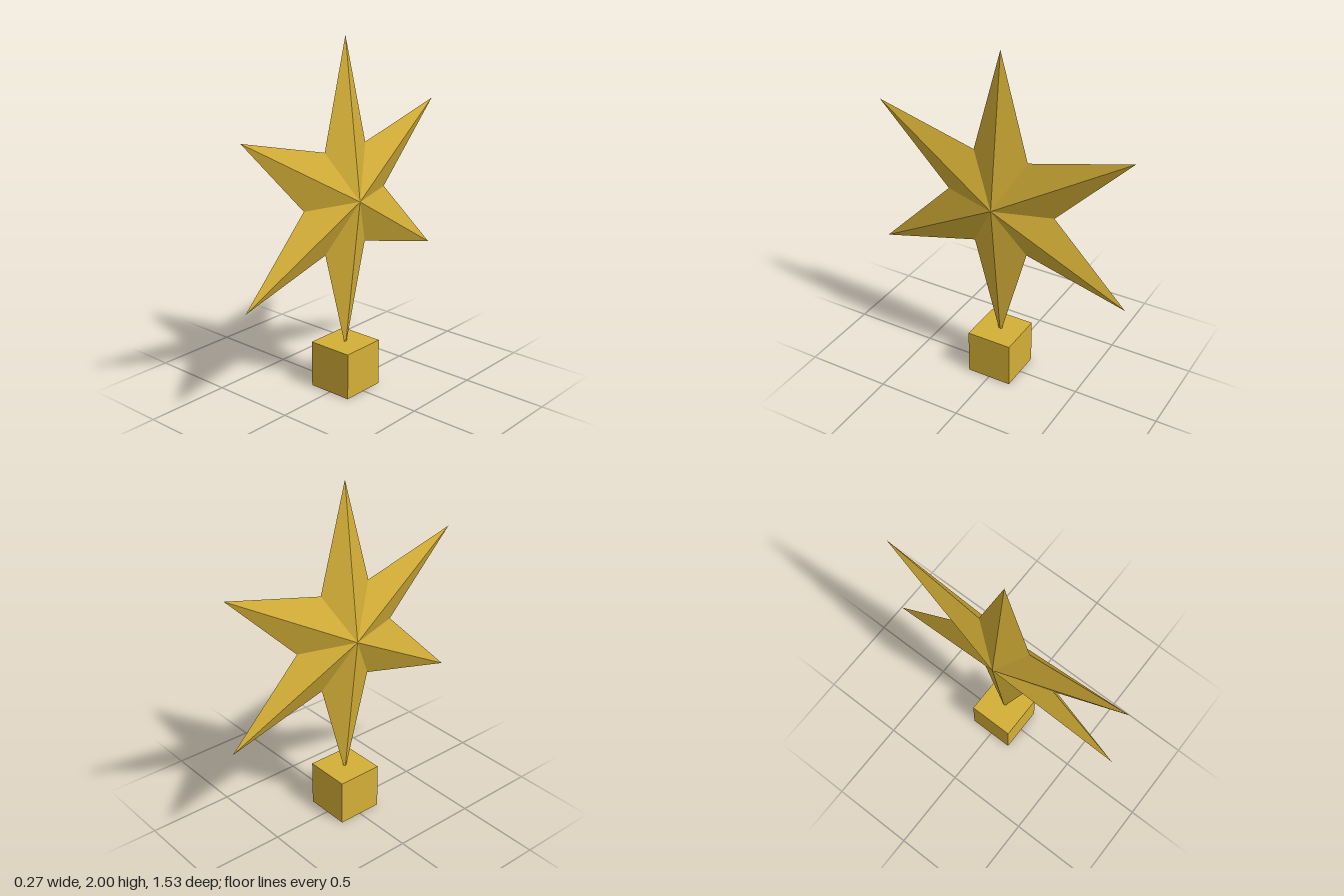
import * as THREE from 'three';

const POINTS = 6, OUTER = 0.885, INNER = 0.33, HALF_DEPTH = 0.105;
const CENTRE_Y = 1.115, BASE = 0.27;

// Faceted star: a ring of alternating tips and notches joined to an apex on each side
function starGeometry() {
  const count = POINTS * 2;
  const ring = Array.from({ length: count }, (_, i) => {
    const r = i % 2 === 0 ? OUTER : INNER;
    const a = (i / count) * Math.PI * 2;
    return [0, r * Math.cos(a), r * Math.sin(a)];
  });
  const positions = [];
  for (let i = 0; i < count; i++) {
    const a = ring[i], b = ring[(i + 1) % count];
    positions.push(HALF_DEPTH, 0, 0, ...a, ...b);
    positions.push(-HALF_DEPTH, 0, 0, ...b, ...a);
  }
  const geometry = new THREE.BufferGeometry();
  geometry.setAttribute('position', new THREE.Float32BufferAttribute(positions, 3));
  geometry.computeVertexNormals();
  return geometry;
}

export function createModel() {
  const group = new THREE.Group();
  group.name = 'starOrnament';
  const gold = new THREE.MeshStandardMaterial({ color: 0xd4af37, flatShading: true });

  // Star, facing sideways, its lowest tip sunk into the base
  const star = new THREE.Mesh(starGeometry(), gold);
  star.name = 'star';
  star.position.y = CENTRE_Y;
  group.add(star);

  // Cube base
  const base = new THREE.Mesh(new THREE.BoxGeometry(BASE, BASE, BASE), gold);
  base.name = 'base';
  base.position.y = BASE / 2;
  group.add(base);

  return group;
}
